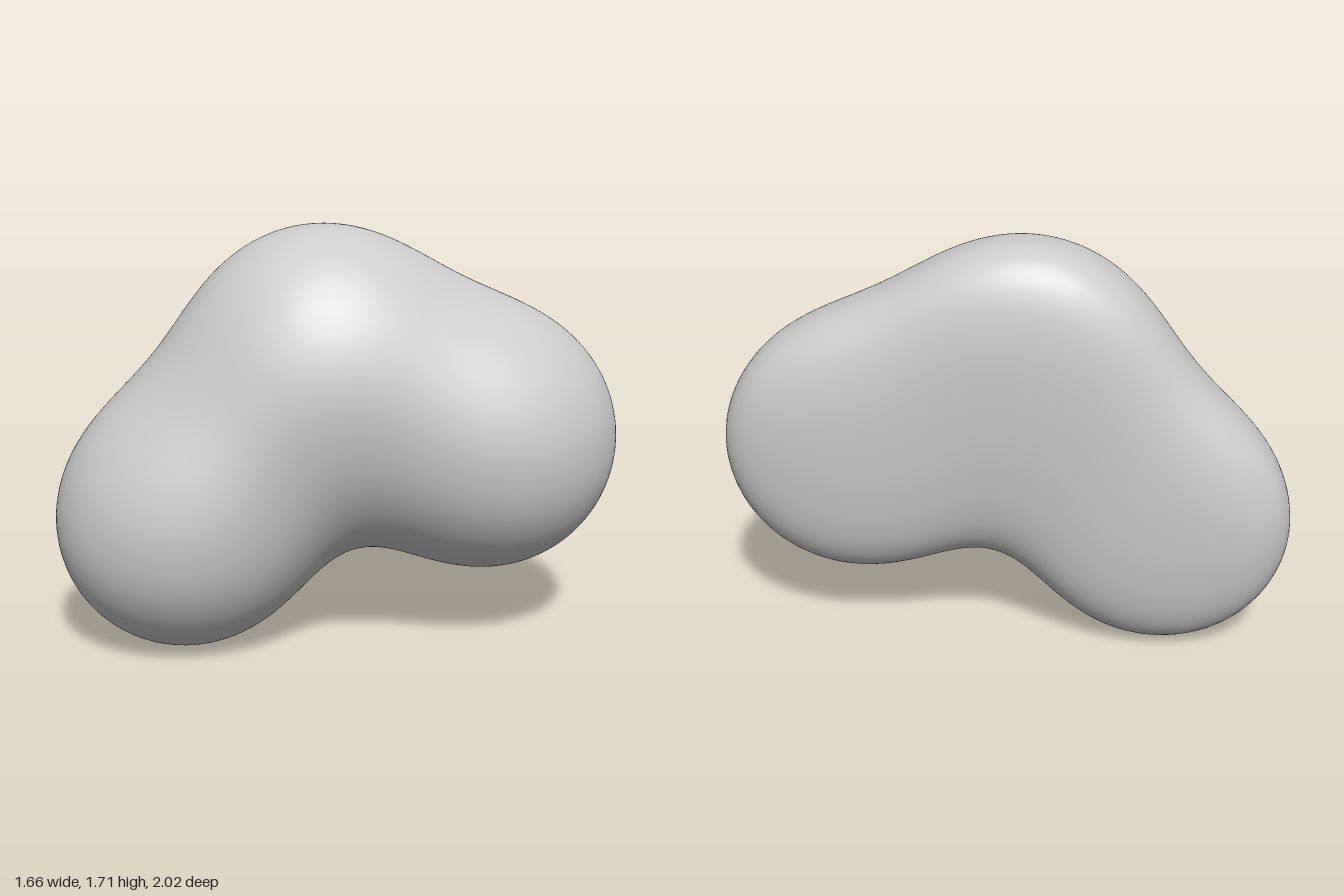
import * as THREE from 'three';
import { mergeVertices } from 'three/addons/utils/BufferGeometryUtils.js';

// Three round lobes lying in one upright plane (u across, y up, w thickness),
// and a weak one that fills the neck between the first two
const lobes = [
  { u: -0.64, y: 0.525, radius: 0.52, weight: 1 },
  { u: -0.07, y: 1.16, radius: 0.55, weight: 1 },
  { u: 0.605, y: 0.84, radius: 0.54, weight: 1 },
  { u: -0.37, y: 0.85, radius: 0.4, weight: 0.3 },
];
const BLEND = 0.2;
const CORE = 0.27; // value of the outline field in the middle of a lobe
const DEPTH = 0.39; // half thickness of the body
const FULLNESS = 2.4; // 2 is an elliptic section, more is fuller

// Soft union of the lobes in the plane: negative inside the outline
function outline(u, y) {
  let sum = 0;
  for (const l of lobes) {
    const rho2 = ((u - l.u) ** 2 + (y - l.y) ** 2) / l.radius ** 2;
    sum += l.weight * Math.exp(-(rho2 - 1) * l.radius / 2 / BLEND);
  }
  return -BLEND * Math.log(sum);
}

// The outline inflated to a rounded body: negative inside
function field(p) {
  const d = outline(p.x, p.y);
  // the middle bulges forward of the rim, and the body leans back slightly
  const mid = 0.06 - 0.1 * (1 + d / CORE) - 0.045 * (p.y - 0.85);
  return d + CORE * Math.abs((p.z - mid) / DEPTH) ** FULLNESS;
}

// Pushes every vertex of a sphere out along its ray to the blended surface
function blobGeometry() {
  let geometry = new THREE.IcosahedronGeometry(1, 40);
  geometry.deleteAttribute('uv');
  geometry.deleteAttribute('normal');
  geometry = mergeVertices(geometry, 1e-5);

  const centre = new THREE.Vector3(-0.03, 0.95, 0.03);
  const pos = geometry.attributes.position;
  const dir = new THREE.Vector3();
  const p = new THREE.Vector3();
  for (let i = 0; i < pos.count; i++) {
    dir.fromBufferAttribute(pos, i).normalize();
    let near = 0;
    let far = 2;
    for (let step = 0; step < 32; step++) {
      const r = (near + far) / 2;
      p.copy(centre).addScaledVector(dir, r);
      if (field(p) < 0) near = r;
      else far = r;
    }
    p.copy(centre).addScaledVector(dir, near);
    pos.setXYZ(i, p.x, p.y, p.z);
  }

  // Turn the plane to its diagonal, centre it and stand it on the ground
  geometry.rotateY(0.935);
  geometry.computeBoundingBox();
  const mid = geometry.boundingBox.getCenter(new THREE.Vector3());
  geometry.translate(-mid.x, -geometry.boundingBox.min.y, -mid.z);
  geometry.computeVertexNormals();
  return geometry;
}

export function createModel() {
  const group = new THREE.Group();
  group.name = 'blob';
  const body = new THREE.Mesh(
    blobGeometry(),
    new THREE.MeshStandardMaterial({ color: 0xcccccc })
  );
  body.name = 'threeLobedBody';
  group.add(body);
  return group;
}
